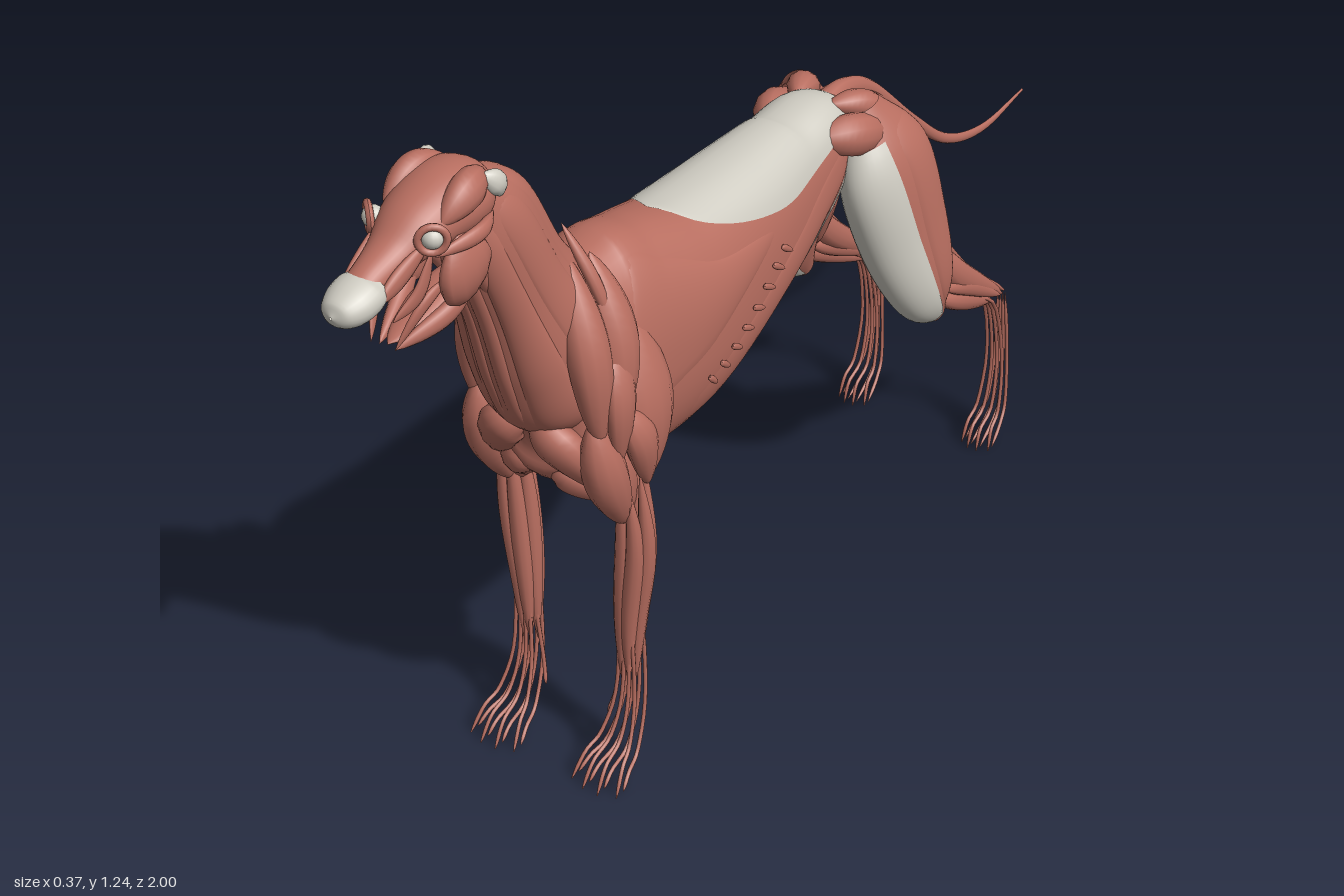
import * as THREE from 'three';

const RED = new THREE.MeshStandardMaterial({ color: 0xb86e60, side: THREE.DoubleSide });
const PALE = new THREE.MeshStandardMaterial({ color: 0xcfccc2, side: THREE.DoubleSide });
const V = (p) => new THREE.Vector3(...p);
const lerp = THREE.MathUtils.lerp;

// Surface swept along a path: radii(u) gives [half width, half depth]; v = 0 is the left side
function sweep(path, radii, square = 1) {
  const curve = new THREE.CatmullRomCurve3(path.map(V), false, 'catmullrom');
  const pow = (c) => Math.sign(c) * Math.abs(c) ** square;
  return (u, v, off = 0) => {
    const T = curve.getTangent(u);
    const S = new THREE.Vector3(1, 0, 0).addScaledVector(T, -T.x).normalize();
    const N = new THREE.Vector3().crossVectors(S, T);
    const [a, b] = radii(u), th = v * Math.PI * 2;
    return curve.getPoint(u)
      .addScaledVector(S, (Math.max(a, 0.0005) + off) * pow(Math.cos(th)))
      .addScaledVector(N, (Math.max(b, 0.0005) + off) * pow(Math.sin(th)));
  };
}

// Sweep through sections [x, y, z, half width, half depth]
function loft(sections, square) {
  const r = new THREE.CatmullRomCurve3(sections.map((s) => V([s[3], s[4], 0])), false, 'catmullrom');
  return sweep(sections.map((s) => s.slice(0, 3)), (u) => r.getPoint(u).toArray(), square);
}

// Grid geometry from a function of s (along) and t (around)
function grid(f, n, m, wrap) {
  const pos = [], idx = [], cols = wrap ? m : m + 1;
  for (let i = 0; i <= n; i++) for (let j = 0; j < cols; j++) pos.push(...f(i / n, j / m).toArray());
  for (let i = 0; i < n; i++) for (let j = 0; j < m; j++) {
    const k = (j + 1) % cols, a = i * cols + j, b = a + cols, c = (i + 1) * cols + k, d = i * cols + k;
    idx.push(a, b, c, a, c, d);
  }
  const g = new THREE.BufferGeometry();
  g.setAttribute('position', new THREE.Float32BufferAttribute(pos, 3));
  g.setIndex(idx);
  g.computeVertexNormals();
  return g;
}
const solid = (surface, n = 40, m = 32) => grid((s, t) => surface(s, t), n, m, true);

// Bulging sheet lying on a surface, between v = lo(s) and v = hi(s)
const sheet = (surface, u0, u1, lo, hi, bulge = 0.008, edge = -0.003) => grid((s, t) => surface(
  lerp(u0, u1, s), lerp(lo(s), hi(s), t),
  edge + bulge * (Math.sin(Math.PI * t) * Math.sin(Math.PI * s)) ** 0.5), 32, 16, false);

// Spindle-shaped muscle and thin tendon
const muscle = (path, a, b = a, p = 0.7) => solid(sweep(path, (u) => {
  const k = Math.max(0, Math.sin(Math.PI * u)) ** p;
  return [a * k, b * k];
}), 16, 12);
const tendon = (path, r = 0.0038) => solid(sweep(path, (u) => {
  const k = r * Math.min(1, 12 * u, 0.3 + 8 * (1 - u));
  return [k, k];
}), 18, 6);

function mirrored(g) {
  const m = g.clone().scale(-1, 1, 1), ix = m.index.array;
  for (let i = 0; i < ix.length; i += 3) [ix[i], ix[i + 1]] = [ix[i + 1], ix[i]];
  m.computeVertexNormals();
  return m;
}

export function createModel() {
  const model = new THREE.Group();
  model.name = 'muscledHound';
  const add = (name, g, mat = RED) => {
    const mesh = new THREE.Mesh(g, mat);
    mesh.name = name;
    model.add(mesh);
  };
  const pair = (name, g, mat) => { add('left ' + name, g, mat); add('right ' + name, mirrored(g), mat); };

  // Torso
  const torso = loft([
    [0, 0.78, 0.58, 0.045, 0.08], [0, 0.775, 0.52, 0.09, 0.165], [0, 0.75, 0.44, 0.112, 0.21],
    [0, 0.728, 0.34, 0.12, 0.211], [0, 0.718, 0.2, 0.126, 0.197], [0, 0.75, 0, 0.107, 0.158],
    [0, 0.785, -0.15, 0.086, 0.125], [0, 0.82, -0.24, 0.074, 0.088], [0, 0.825, -0.34, 0.02, 0.03]], 0.87);
  add('torso', solid(torso, 56, 48));
  const backWidth = (s) => 0.19 * Math.sin(Math.min(1, s / 0.5) * Math.PI / 2);
  add('backFascia', sheet(torso, 0.45, 0.93, (s) => 0.25 - backWidth(s), (s) => 0.25 + backWidth(s), 0.004, 0.001), PALE);
  const bellyWidth = (s) => lerp(0.03, 0.21, s);
  add('bellyFascia', sheet(torso, 0.4, 0.86, (s) => 0.75 - bellyWidth(s), (s) => 0.75 + bellyWidth(s), 0.003, 0.001), PALE);
  pair('broadBackMuscle', sheet(torso, 0.22, 0.62, (s) => lerp(-0.09, 0.04, s), (s) => lerp(0.2, 0.06, s), 0.009));
  pair('flankMuscle', sheet(torso, 0.42, 0.9, (s) => lerp(-0.17, -0.05, s), (s) => lerp(-0.05, 0.05, s), 0.007));
  pair('chestMuscle', sheet(torso, 0.15, 0.5, () => 0.76, (s) => lerp(0.89, 0.82, s), 0.009));
  for (let i = 0; i < 8; i++) { // saw-toothed rib muscle
    const u = 0.46 + i * 0.022, v = -0.045 + i * 0.009;
    pair('ribTooth', muscle([torso(u, v, 0.004).toArray(), torso(u + 0.02, v - 0.022, 0.005).toArray()], 0.004, 0.006));
  }

  // Neck
  const neck = loft([
    [0, 1.185, 0.7, 0.045, 0.04], [0, 1.115, 0.66, 0.066, 0.083], [0, 0.98, 0.6, 0.08, 0.093],
    [0, 0.86, 0.54, 0.1, 0.118], [0, 0.75, 0.49, 0.1, 0.12], [0, 0.65, 0.46, 0.05, 0.06]]);
  add('neck', solid(neck, 40, 40));
  pair('throatStrap', sheet(neck, 0.08, 0.8, () => 0.755, (s) => lerp(0.83, 0.79, s)));
  pair('sideNeckStrap', sheet(neck, 0.08, 0.9, (s) => lerp(0.84, 0.8, s), (s) => lerp(0.94, 0.93, s), 0.011));
  pair('neckSheet', sheet(neck, 0.06, 0.75, (s) => lerp(0.95, 0.96, s), (s) => lerp(1.09, 1.08, s)));
  pair('napeMuscle', sheet(neck, 0.06, 0.7, () => 1.1, () => 1.245));

  // Head
  add('skull', solid(loft([
    [0, 1.17, 0.665, 0.025, 0.025], [0, 1.18, 0.7, 0.06, 0.05], [0, 1.185, 0.745, 0.069, 0.056],
    [0, 1.175, 0.81, 0.058, 0.046], [0, 1.153, 0.865, 0.04, 0.033], [0, 1.136, 0.92, 0.03, 0.027],
    [0, 1.122, 0.965, 0.03, 0.02]])));
  add('nose', solid(loft([
    [0, 1.132, 0.918, 0.036, 0.024], [0, 1.126, 0.935, 0.042, 0.031], [0, 1.119, 0.965, 0.039, 0.03],
    [0, 1.117, 0.99, 0.025, 0.02], [0, 1.117, 1.0, 0.002, 0.002]]), 20, 24), PALE);
  pair('templeMuscle', muscle([[0.03, 1.215, 0.69], [0.048, 1.215, 0.75], [0.05, 1.19, 0.815]], 0.026, 0.03));
  pair('cheekMuscle', muscle([[0.06, 1.165, 0.79], [0.06, 1.1, 0.775], [0.045, 1.04, 0.755]], 0.023, 0.055, 0.6));
  pair('cheekbone', muscle([[0.055, 1.16, 0.7], [0.076, 1.16, 0.76], [0.06, 1.155, 0.84]], 0.01, 0.014));
  pair('jawBar', muscle([[0.055, 1.08, 0.74], [0.042, 1.035, 0.8], [0.015, 1.008, 0.885]], 0.013, 0.018));
  pair('lipStrap', muscle([[0.05, 1.16, 0.835], [0.043, 1.1, 0.86], [0.03, 1.07, 0.905]], 0.006, 0.014));
  pair('lowerLip', muscle([[0.05, 1.1, 0.8], [0.042, 1.075, 0.85], [0.022, 1.015, 0.895]], 0.006, 0.012));
  pair('muzzleMuscle', muscle([[0.045, 1.175, 0.83], [0.036, 1.14, 0.89], [0.034, 1.118, 0.94]], 0.009, 0.017));
  add('jawFloor', muscle([[0, 1.07, 0.7], [0, 1.035, 0.79], [0, 1.012, 0.885]], 0.034, 0.014));
  pair('throatStrand', muscle([[0.03, 1.1, 0.77], [0.035, 1.07, 0.72], [0.03, 0.98, 0.67]], 0.014, 0.018));
  pair('earMuscle', muscle([[0.055, 1.23, 0.725], [0.063, 1.21, 0.7], [0.06, 1.18, 0.685]], 0.012, 0.018), PALE);
  pair('eye', new THREE.SphereGeometry(0.017, 16, 12).translate(0.053, 1.183, 0.836), PALE);
  pair('eyeRing', new THREE.TorusGeometry(0.021, 0.006, 8, 20).rotateY(0.75).translate(0.057, 1.183, 0.841));

  // Shoulder and upper arm: [name, path, half width, half depth]
  const foreMuscles = [
    ['shoulderBladeRim', [[0.035, 1.04, 0.515], [0.085, 0.95, 0.505], [0.115, 0.85, 0.49]], 0.01, 0.012],
    ['bladeFront', [[0.05, 1.0, 0.53], [0.105, 0.85, 0.55], [0.12, 0.68, 0.545]], 0.032, 0.04],
    ['bladeBack', [[0.06, 0.98, 0.48], [0.11, 0.84, 0.485], [0.125, 0.68, 0.51]], 0.032, 0.042],
    ['shoulderCap', [[0.11, 0.86, 0.49], [0.138, 0.76, 0.515], [0.13, 0.63, 0.51]], 0.018, 0.032],
    ['longTriceps', [[0.09, 0.85, 0.42], [0.122, 0.7, 0.43], [0.122, 0.55, 0.425]], 0.033, 0.062],
    ['sideTriceps', [[0.13, 0.73, 0.5], [0.143, 0.66, 0.47], [0.13, 0.55, 0.435]], 0.02, 0.032],
    ['upperArmMuscle', [[0.11, 0.73, 0.555], [0.115, 0.62, 0.53], [0.112, 0.49, 0.475]], 0.034, 0.04],
    ['innerArmMuscle', [[0.08, 0.7, 0.48], [0.095, 0.6, 0.48], [0.1, 0.48, 0.45]], 0.03, 0.045],
    ['breastMuscle', [[0.005, 0.7, 0.575], [0.055, 0.67, 0.565], [0.11, 0.57, 0.51]], 0.04, 0.032],
    ['lowerBreastMuscle', [[0.005, 0.6, 0.53], [0.05, 0.59, 0.52], [0.105, 0.54, 0.48]], 0.035, 0.035],
  ];
  for (const [name, path, a, b] of foreMuscles) pair(name, muscle(path, a, b));

  // Forearm muscles around the bones
  for (let i = 0; i < 6; i++) {
    const th = i / 6 * Math.PI * 2, c = Math.cos(th), s = Math.sin(th);
    pair('forearmMuscle', muscle([
      [0.118 + 0.017 * c, 0.59 - 0.02 * s, 0.465 + 0.025 * s], [0.117 + 0.021 * c, 0.44, 0.455 + 0.02 * s],
      [0.105 + 0.013 * c, 0.29, 0.455 + 0.016 * s], [0.1 + 0.013 * c, 0.16, 0.457 + 0.014 * s]], 0.017, 0.018, 0.8));
  }

  // Thigh
  const thigh = loft([
    [0.07, 0.88, -0.3, 0.02, 0.03], [0.092, 0.77, -0.325, 0.058, 0.1], [0.115, 0.62, -0.36, 0.058, 0.097],
    [0.137, 0.49, -0.4, 0.045, 0.068], [0.14, 0.4, -0.455, 0.012, 0.02]]);
  pair('thigh', solid(thigh, 32, 32));
  pair('thighFascia', sheet(thigh, 0.13, 0.97, (s) => lerp(0.55, 0.62, s), (s) => lerp(0.94, 0.98, s), 0.006, 0.001), PALE);
  pair('outerThighMuscle', sheet(thigh, 0.1, 0.9, () => -0.02, () => 0.2, 0.011));
  const hindMuscles = [
    ['rumpMuscle', [[0.045, 0.86, -0.17], [0.08, 0.845, -0.25], [0.09, 0.81, -0.35]], 0.034, 0.038],
    ['hipMuscle', [[0.03, 0.89, -0.24], [0.06, 0.87, -0.31], [0.085, 0.81, -0.38]], 0.028, 0.026],
    ['rearThighMuscle', [[0.06, 0.83, -0.37], [0.095, 0.68, -0.415], [0.12, 0.5, -0.46]], 0.036, 0.036],
    ['innerThighMuscle', [[0.025, 0.82, -0.34], [0.065, 0.66, -0.385], [0.115, 0.46, -0.45]], 0.034, 0.055],
    ['outerCalf', [[0.148, 0.56, -0.425], [0.155, 0.46, -0.5], [0.14, 0.31, -0.7]], 0.018, 0.027],
    ['innerCalf', [[0.115, 0.56, -0.42], [0.118, 0.46, -0.5], [0.135, 0.31, -0.7]], 0.017, 0.026],
    ['shinMuscle', [[0.152, 0.45, -0.42], [0.15, 0.395, -0.52], [0.135, 0.31, -0.67]], 0.016, 0.02],
    ['sideShinMuscle', [[0.163, 0.47, -0.43], [0.16, 0.42, -0.53], [0.147, 0.32, -0.68]], 0.011, 0.016],
    ['deepShinMuscle', [[0.125, 0.46, -0.44], [0.125, 0.41, -0.53], [0.13, 0.32, -0.68]], 0.013, 0.018],
    ['tailBaseMuscle', [[0.015, 0.87, -0.27], [0.022, 0.85, -0.35], [0.01, 0.8, -0.46]], 0.013, 0.016],
  ];
  for (const [name, path, a, b] of hindMuscles) pair(name, muscle(path, a, b));
  pair('heelTendon', tendon([[0.13, 0.56, -0.46], [0.138, 0.44, -0.56], [0.14, 0.315, -0.705]], 0.006));

  // Tendons running into four toes per paw
  for (let i = 0; i < 4; i++) {
    const k = i - 1.5, fx = (w) => 0.105 + k * w, hx = (w) => 0.138 + k * w;
    const mid = Math.abs(k) < 1 ? 0.012 : 0;
    pair('foreToeTendon', tendon([[fx(0.007), 0.32, 0.472], [fx(0.012), 0.15, 0.475], [fx(0.019), 0.07, 0.505],
      [fx(0.025), 0.045, 0.54 + mid], [fx(0.03), 0.004, 0.57 + mid]]));
    pair('forePadTendon', tendon([[fx(0.008), 0.3, 0.44], [fx(0.013), 0.13, 0.447], [fx(0.02), 0.045, 0.485],
      [fx(0.026), 0.025, 0.525 + mid], [fx(0.03), 0.005, 0.55 + mid]]));
    pair('hindToeTendon', tendon([[hx(0.006), 0.37, -0.58], [hx(0.008), 0.31, -0.655], [hx(0.011), 0.18, -0.685],
      [hx(0.015), 0.075, -0.67], [hx(0.017), 0.045, -0.64 + mid], [hx(0.019), 0.004, -0.625 + mid]]));
    pair('hindPadTendon', tendon([[hx(0.005), 0.315, -0.7], [hx(0.008), 0.2, -0.71], [hx(0.012), 0.08, -0.705],
      [hx(0.016), 0.04, -0.68], [hx(0.019), 0.005, -0.64 + mid]]));
  }
  pair('dewclawTendon', tendon([[0.09, 0.25, 0.46], [0.075, 0.13, 0.46], [0.064, 0.08, 0.47]]));

  // Tail
  add('tail', solid(loft([
    [0, 0.865, -0.26, 0.025, 0.02], [0, 0.865, -0.34, 0.017, 0.022], [0, 0.825, -0.43, 0.013, 0.017],
    [0, 0.695, -0.58, 0.009, 0.012], [0, 0.595, -0.71, 0.007, 0.01], [0, 0.553, -0.85, 0.005, 0.008],
    [0, 0.565, -1.0, 0.002, 0.003]]), 40, 12));
  return model;
}
